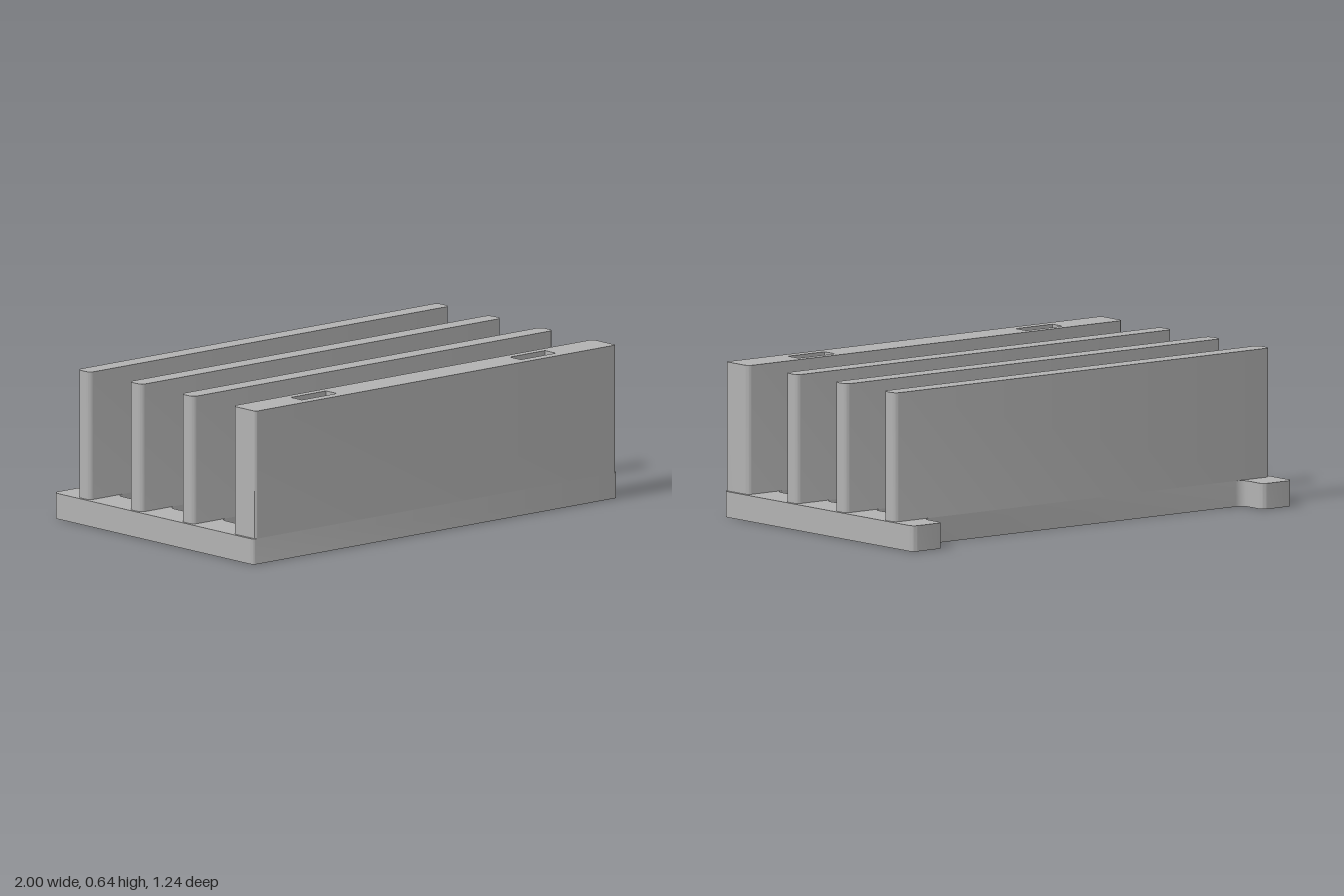
import * as THREE from 'three';
import { toCreasedNormals } from 'three/addons/utils/BufferGeometryUtils.js';

// Closed outline from [x, z, cornerRadius] points, each corner rounded
function outline(points, Type = THREE.Shape) {
  const path = new Type();
  const n = points.length;
  const at = (i) => new THREE.Vector2(points[i][0], -points[i][1]);
  points.forEach(([, , r], i) => {
    const p = at(i);
    const toPrev = at((i + n - 1) % n).sub(p).normalize();
    const toNext = at((i + 1) % n).sub(p).normalize();
    const along = (dir, d) => p.clone().addScaledVector(dir, d);
    const a = along(toPrev, r);
    if (i === 0) path.moveTo(a.x, a.y); else path.lineTo(a.x, a.y);
    if (r > 0) {
      const c1 = along(toPrev, r * 0.448), c2 = along(toNext, r * 0.448), b = along(toNext, r);
      path.bezierCurveTo(c1.x, c1.y, c2.x, c2.y, b.x, b.y);
    }
  });
  path.closePath();
  return path;
}

const rect = (x0, x1, z0, z1, rBack, rFront, Type) => outline(
  [[x0, z1, rFront], [x1, z1, rFront], [x1, z0, rBack], [x0, z0, rBack]], Type);

// Upright extrusion of a plan shape
function slab(name, shape, y, height, material) {
  let geo = new THREE.ExtrudeGeometry(shape, { depth: height, bevelEnabled: false, curveSegments: 8 });
  geo.rotateX(-Math.PI / 2);
  geo = toCreasedNormals(geo, 0.6);
  const mesh = new THREE.Mesh(geo, material);
  mesh.name = name;
  mesh.position.y = y;
  return mesh;
}

export function createModel() {
  const group = new THREE.Group();
  group.name = 'slottedRack';
  const grey = new THREE.MeshStandardMaterial({ color: 0xb2b2b2 });
  grey.name = 'grey';

  const baseHeight = 0.107, top = 0.642, front = 0.617, back = -0.62;
  const inner = 0.843;
  const dividers = [[-0.488, -0.408], [-0.168, -0.088], [0.152, 0.232]];
  const frontWall = [0.473, front];

  // Screw slots running down through the front wall and base
  const slots = () => [-1, 1].map((s) =>
    rect(s * 0.6 - 0.096, s * 0.6 + 0.096, 0.507, 0.574, 0, 0, THREE.Path));

  // Base frame with two rear arms and open bays between the crossbars
  const base = outline([
    [-1, front, 0.02], [1, front, 0.02],
    [1, back, 0.025], [inner, back, 0.025],
    [inner, dividers[0][0], 0.038], [-inner, dividers[0][0], 0.038],
    [-inner, back, 0.025], [-1, back, 0.025],
  ]);
  const bars = [...dividers, frontWall];
  for (let i = 0; i < 3; i++) {
    base.holes.push(rect(-inner, inner, bars[i][1], bars[i + 1][0], 0.038, 0.038, THREE.Path));
  }
  base.holes.push(...slots());
  group.add(slab('baseFrame', base, 0, baseHeight, grey));

  // Thin upright dividers
  dividers.forEach(([z0, z1], i) => {
    group.add(slab(`divider${i + 1}`, rect(-0.988, 0.988, z0, z1, 0.025, 0.025),
      baseHeight, top - baseHeight, grey));
  });

  // Thick front wall
  const wall = rect(-0.988, 0.988, ...frontWall, 0.025, 0.01);
  wall.holes.push(...slots());
  group.add(slab('frontWall', wall, baseHeight, top - baseHeight, grey));

  return group;
}
